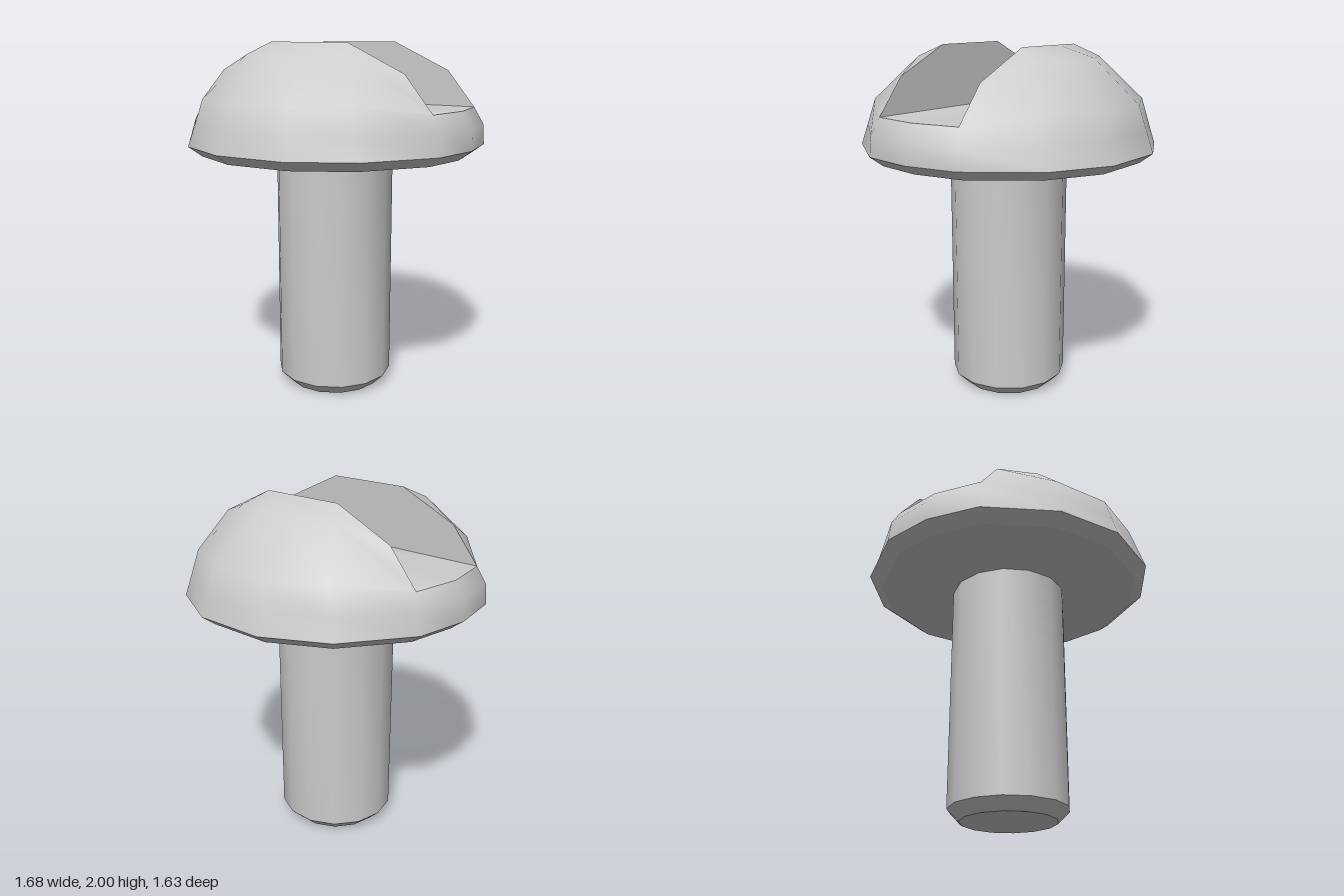
import * as THREE from 'three';
import { toCreasedNormals } from 'three/addons/utils/BufferGeometryUtils.js';

const material = new THREE.MeshStandardMaterial({ color: 0xcccccc });

// Fan-triangulate convex polygons, dropping collapsed triangles
function fromPolygons(polygons, crease) {
  const pos = [];
  for (const p of polygons) {
    for (let i = 1; i < p.length - 1; i++) {
      const t = [p[0], p[i], p[i + 1]].map((v) => new THREE.Vector3(...v));
      if (new THREE.Triangle(...t).getArea() < 1e-6) continue;
      t.forEach((v) => pos.push(v.x, v.y, v.z));
    }
  }
  const g = new THREE.BufferGeometry();
  g.setAttribute('position', new THREE.Float32BufferAttribute(pos, 3));
  return toCreasedNormals(g, crease);
}

function addMesh(group, name, geometry) {
  const mesh = new THREE.Mesh(geometry, material);
  mesh.name = name;
  group.add(mesh);
}

export function createModel() {
  const group = new THREE.Group();
  group.name = 'slottedScrew';

  // Shaft with a chamfered tip
  const profile = [[0, 0], [0.27, 0], [0.335, 0.065], [0.335, 1.38]].map((p) => new THREE.Vector2(...p));
  addMesh(group, 'shaft', toCreasedNormals(new THREE.LatheGeometry(profile, 14, Math.PI / 2), 0.6));

  // Dome columns for one quarter, from the rim up to the slot edge
  const quarter = [
    [[0.84, 1.445, 0], [0.84, 1.56, 0], [0.78, 1.65, 0]],
    [[0.79, 1.445, 0.3], [0.785, 1.56, 0.29], [0.735, 1.65, 0.272], [0.575, 1.845, 0.272], [0.24, 2, 0.272]],
    [[0.535, 1.445, 0.645], [0.505, 1.56, 0.62], [0.47, 1.7, 0.59], [0.315, 1.935, 0.393], [0.24, 2, 0.272]],
    [[0.2, 1.445, 0.815], [0.187, 1.56, 0.78], [0.17, 1.7, 0.735], [0.112, 1.935, 0.49], [0.09, 2, 0.272]],
  ];
  const flip = (sx, sz) => (col) => col.map(([x, y, z]) => [x * sx, y, z * sz]);
  const half = [...quarter, ...quarter.slice(1).reverse().map(flip(-1, 1))];
  const cols = [...half, ...half.map(flip(-1, -1))];
  const n = cols.length;

  // Dome skin: full rings below the slot floor, two separate caps above it
  const skin = [];
  for (let j = 0; j < n; j++) {
    const a = cols[j], b = cols[(j + 1) % n];
    for (let i = 0; i + 1 < Math.min(a.length, b.length); i++) {
      skin.push([a[i], a[i + 1], b[i + 1], b[i]]);
    }
  }
  // Slot floor
  skin.push([0, 13, 8, 7, 6, 1].map((j) => cols[j][2]));
  addMesh(group, 'headDome', fromPolygons(skin, 0.9));

  // Slot walls
  const walls = [1, 8].map((j) => {
    const a = cols[j].slice(2), b = cols[j + 5].slice(2);
    return [...b, ...a.reverse()];
  });
  addMesh(group, 'slotWalls', fromPolygons(walls, 0.2));

  // Bevelled rim and slightly conical underside
  const ring = (s, y) => cols.map((c) => [c[0][0] * s, y, c[0][2] * s]);
  const rings = [ring(0.38, 1.375), ring(0.912, 1.39), ring(1, 1.445)];
  const under = [];
  for (let i = 0; i < 2; i++) {
    for (let j = 0; j < n; j++) {
      const k = (j + 1) % n;
      under.push([rings[i][j], rings[i + 1][j], rings[i + 1][k], rings[i][k]]);
    }
  }
  addMesh(group, 'headUnderside', fromPolygons(under, 0.6));

  return group;
}
